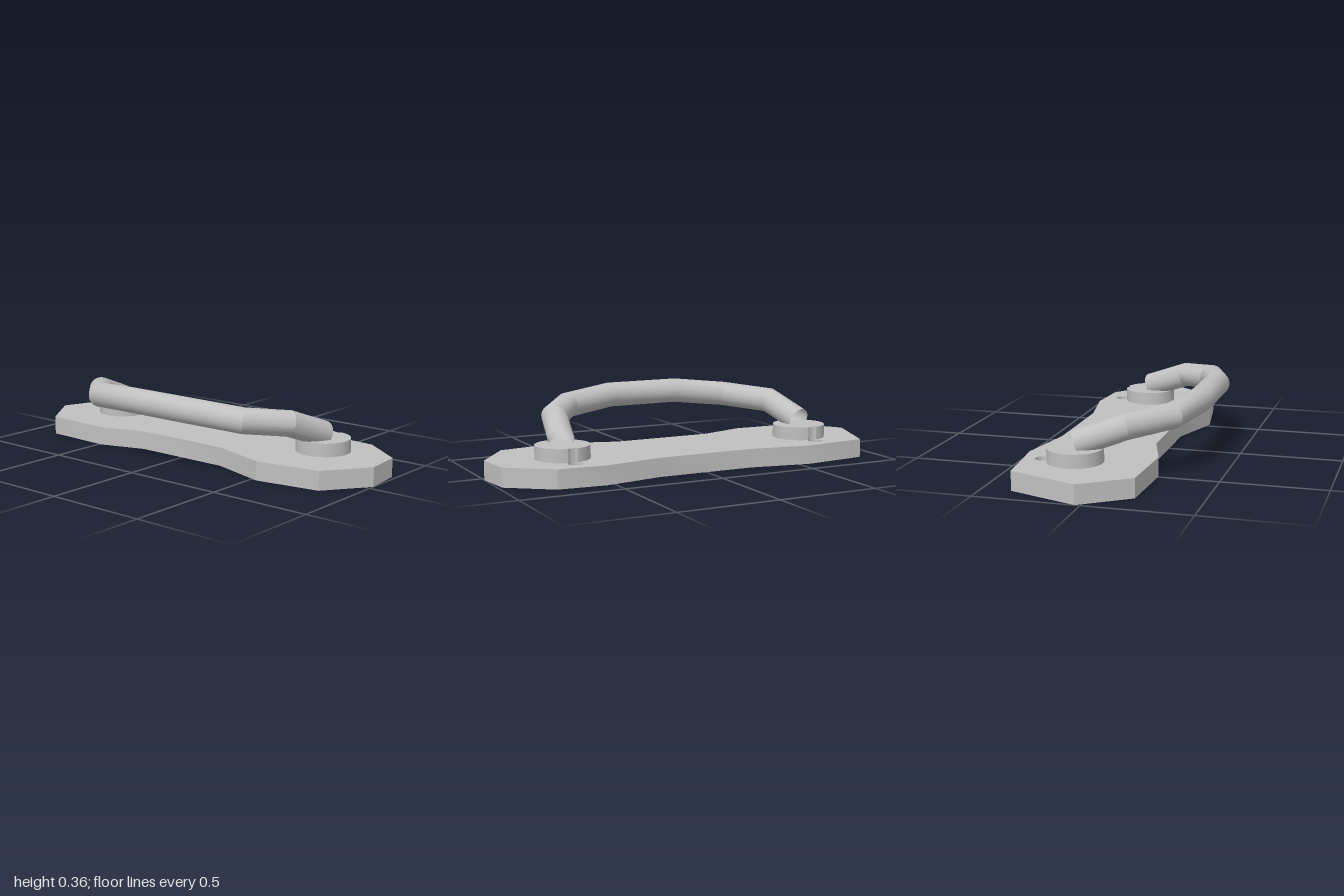
import * as THREE from 'three';
import { toCreasedNormals } from 'three/addons/utils/BufferGeometryUtils.js';

const PLATE_TOP = 0.092, BOSS_TOP = 0.157;
const BOSS_X = 0.652, BOSS_Z = -0.136, BOSS_R = 0.131;
const HOLE_Z = -0.292, HOLE_R = 0.036;
const BAR_R = 0.062;

// Extrudes a shape drawn in (x, z) upwards from y0 to y1.
function slab(shape, y0, y1) {
  const geo = new THREE.ExtrudeGeometry(shape, { depth: y1 - y0, bevelEnabled: false, curveSegments: 40 });
  geo.rotateX(Math.PI / 2);
  geo.translate(0, y1, 0);
  return toCreasedNormals(geo, 0.4);
}

// Mitred round bar through straight segments, open at both ends.
function mitredBar(points, radius, sides) {
  const pts = points.map(p => new THREE.Vector3(...p));
  const last = pts.length - 1;
  const dirs = pts.slice(1).map((p, i) => p.clone().sub(pts[i]).normalize());
  const pos = [], index = [];
  pts.forEach((p, i) => {
    const dir = dirs[Math.max(0, i - 1)];
    const plane = dir.clone().add(dirs[Math.min(i, last - 1)]).normalize();
    // carry each ring along the incoming segment onto the mitre plane
    for (let s = 0; s < sides; s++) {
      const v = new THREE.Vector3();
      if (i === 0) {
        const side = new THREE.Vector3(0, 1, 0).cross(dir).normalize();
        const up = dir.clone().cross(side);
        const a = (s / sides) * Math.PI * 2;
        v.copy(p).addScaledVector(side, radius * Math.cos(a)).addScaledVector(up, radius * Math.sin(a));
      } else {
        v.fromArray(pos, ((i - 1) * sides + s) * 3);
        const t = p.clone().sub(v).dot(plane) / dir.dot(plane);
        v.addScaledVector(dir, t);
      }
      pos.push(v.x, v.y, v.z);
      if (i < last) {
        const a = i * sides + s, b = i * sides + (s + 1) % sides;
        index.push(a, b, b + sides, a, b + sides, a + sides);
      }
    }
  });
  const geo = new THREE.BufferGeometry();
  geo.setAttribute('position', new THREE.Float32BufferAttribute(pos, 3));
  geo.setIndex(index);
  return toCreasedNormals(geo, 0.4);
}

export function createModel() {
  const group = new THREE.Group();
  const metal = new THREE.MeshStandardMaterial({ color: 0xc0c0c0, side: THREE.DoubleSide });
  metal.name = 'grey metal';
  const add = (geo, name) => {
    const mesh = new THREE.Mesh(geo, metal);
    mesh.name = name;
    group.add(mesh);
    return mesh;
  };

  // Base plate with a slightly uneven waisted outline and two screw holes
  const outline = [
    [-1, -0.025], [-0.88, -0.36], [-0.55, -0.395], [-0.245, -0.342], [0.25, -0.342],
    [0.54, -0.395], [0.775, -0.376], [0.98, -0.225], [1, -0.032], [0.845, 0.18],
    [0.53, 0.228], [0.245, 0.138], [-0.255, 0.138], [-0.49, 0.212], [-0.84, 0.198],
  ];
  const plate = new THREE.Shape(outline.map(p => new THREE.Vector2(...p)));
  for (const sx of [-1, 1]) {
    plate.holes.push(new THREE.Path().absarc(sx * BOSS_X, HOLE_Z, HOLE_R, 0, Math.PI * 2, true));
  }
  add(slab(plate, 0, PLATE_TOP), 'basePlate');

  // Round bosses, notched where the screw holes bite into their rim
  const d = BOSS_Z - HOLE_Z;
  const a = (BOSS_R ** 2 - HOLE_R ** 2 + d * d) / (2 * d);
  const h = Math.sqrt(BOSS_R ** 2 - a * a);
  const rim = Math.atan2(h, a), notch = Math.atan2(d - a, h);
  const boss = new THREE.Shape();
  boss.absarc(0, 0, BOSS_R, -Math.PI / 2 + rim, Math.PI * 1.5 - rim, false);
  boss.absarc(0, -d, HOLE_R, Math.PI - notch, notch, true);
  const bossGeo = slab(boss, PLATE_TOP, BOSS_TOP);
  for (const [sx, name] of [[-1, 'rightBoss'], [1, 'leftBoss']]) {
    add(bossGeo, name).position.set(sx * BOSS_X, 0, BOSS_Z);
  }

  // Bent grab bar rising forward from the bosses
  add(mitredBar([
    [-0.655, 0.175, -0.132], [-0.605, 0.255, 0.082], [-0.43, 0.278, 0.262], [-0.175, 0.303, 0.335],
    [0.2, 0.303, 0.335], [0.47, 0.278, 0.25], [0.605, 0.255, 0.08], [0.655, 0.175, -0.132],
  ], BAR_R, 28), 'grabBar');

  return group;
}
